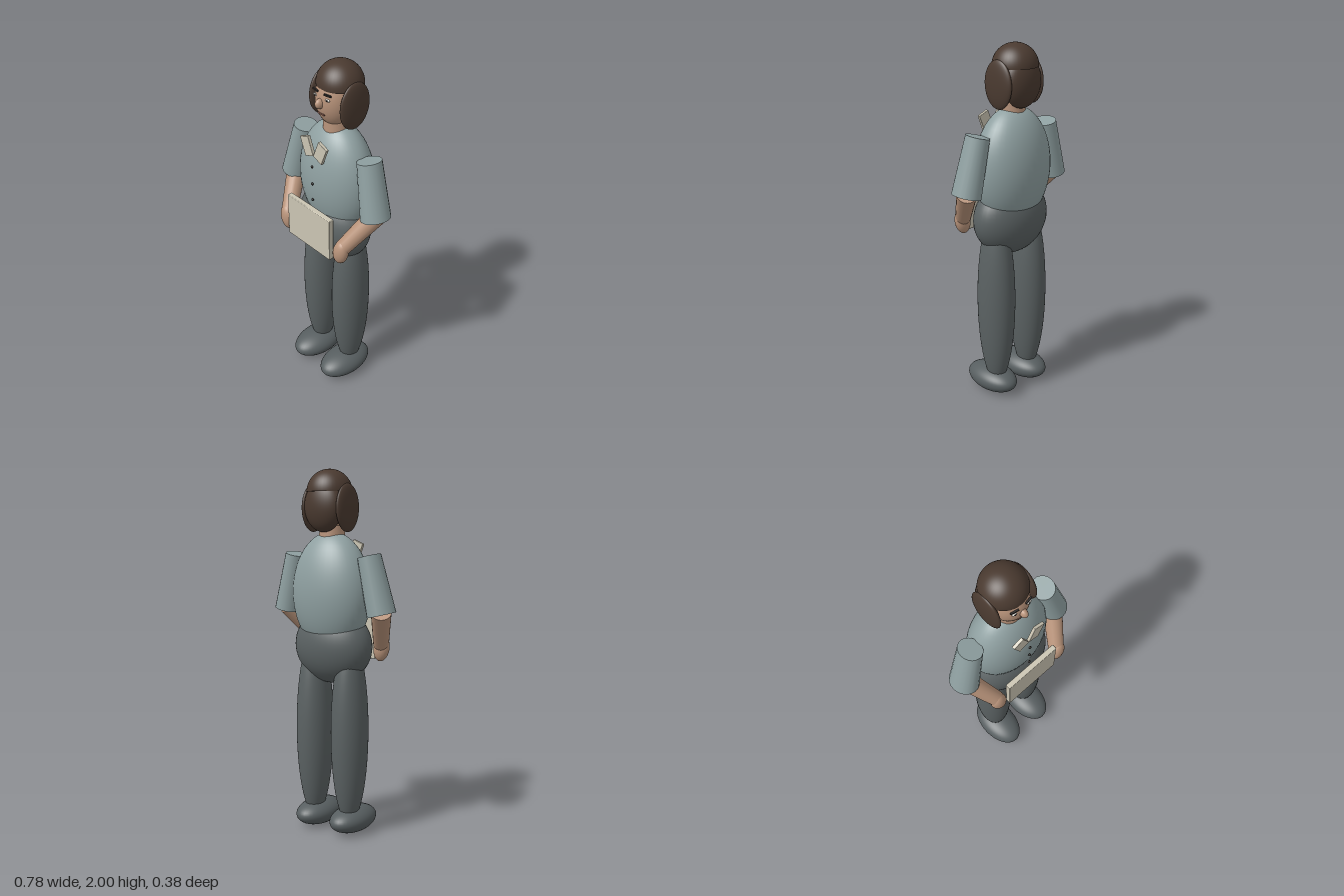
import * as THREE from 'three';
import { RoundedBoxGeometry } from 'three/addons/geometries/RoundedBoxGeometry.js';

const material = (name, color) => {
  const m = new THREE.MeshStandardMaterial({ color });
  m.name = name;
  return m;
};

export function createModel() {
  const shirt = material('greyBlueShirt', 0x8fa0a1);
  const trouser = material('charcoalTrousers', 0x5b6263);
  const shoe = material('darkShoes', 0x575e60);
  const skin = material('skin', 0xb8937a);
  const hair = material('brownHair', 0x4a3a30);
  const cream = material('cream', 0xcbc5b3);
  const dark = material('darkDetails', 0x2c2826);
  const white = material('eyeWhite', 0xdcd8cf);
  const lip = material('lips', 0x84594c);

  const model = new THREE.Group();
  model.name = 'person';

  const add = (name, geometry, mat, pos) => {
    const mesh = new THREE.Mesh(geometry, mat);
    mesh.name = name;
    mesh.position.set(...pos);
    model.add(mesh);
    return mesh;
  };
  const ball = (name, mat, pos, radii, w = 40, h = 28) =>
    add(name, new THREE.SphereGeometry(1, w, h).scale(...radii), mat, pos);
  // Tapered limb running from point a to point b
  const limb = (name, mat, a, b, ra, rb, depth = 1) => {
    const from = new THREE.Vector3(...a), to = new THREE.Vector3(...b);
    const dir = from.clone().sub(to);
    const geometry = new THREE.CylinderGeometry(ra, rb, dir.length(), 20).scale(1, 1, depth);
    const mesh = add(name, geometry, mat, from.clone().add(to).multiplyScalar(0.5).toArray());
    mesh.quaternion.setFromUnitVectors(new THREE.Vector3(0, 1, 0), dir.normalize());
    return mesh;
  };

  // Body
  ball('torso', shirt, [0, 1.34, -0.025], [0.237, 0.33, 0.165]);
  ball('hips', trouser, [0, 1.05, -0.008], [0.238, 0.21, 0.154]);
  add('neck', new THREE.CylinderGeometry(0.067, 0.072, 0.16, 24), skin, [0, 1.68, -0.02]);

  // Head and hair
  ball('head', skin, [0, 1.81, -0.012], [0.104, 0.15, 0.105]);
  ball('nose', skin, [0, 1.81, 0.093], [0.02, 0.028, 0.029], 20, 14);
  const cap = new THREE.SphereGeometry(1, 40, 20, 0, Math.PI * 2, 0, Math.PI * 0.5);
  add('hairCap', cap.scale(0.123, 0.12, 0.123), hair, [0, 1.88, -0.043]);
  const underside = add('hairCapUnderside', new THREE.CircleGeometry(0.123, 40), hair, [0, 1.88, -0.043]);
  underside.rotation.x = Math.PI / 2;
  ball('backHair', hair, [0, 1.805, -0.095], [0.118, 0.138, 0.07]);
  add('mouth', new THREE.BoxGeometry(0.046, 0.009, 0.008), lip, [0, 1.75, 0.083]);

  // Shirt buttons
  for (const y of [1.465, 1.36, 1.26, 1.165]) {
    ball('button', dark, [0, y, 0.15], [0.008, 0.008, 0.006], 12, 8);
  }

  // Held board
  add('board', new RoundedBoxGeometry(0.335, 0.255, 0.03, 2, 0.004), cream, [0, 1.094, 0.168]);

  // Mirrored parts
  for (const s of [1, -1]) {
    const side = s > 0 ? 'left' : 'right';

    ball(side + 'HairLock', hair, [s * 0.114, 1.795, -0.036], [0.026, 0.128, 0.098]);
    ball(side + 'Eye', white, [s * 0.044, 1.84, 0.081], [0.016, 0.007, 0.007], 16, 10);
    ball(side + 'Pupil', dark, [s * 0.044, 1.84, 0.086], [0.006, 0.006, 0.004], 12, 8);
    const brow = add(side + 'Brow', new THREE.BoxGeometry(0.044, 0.009, 0.009), dark, [s * 0.044, 1.866, 0.081]);
    brow.rotation.y = s * 0.2;

    const flap = add(side + 'Collar', new RoundedBoxGeometry(0.067, 0.108, 0.018, 2, 0.003), cream, [s * 0.05, 1.563, 0.133]);
    flap.rotation.z = -s * 0.38;

    limb(side + 'Sleeve', shirt, [s * 0.243, 1.545, -0.02], [s * 0.315, 1.235, -0.006], 0.062, 0.077, 1.1);
    limb(side + 'Forearm', skin, [s * 0.315, 1.25, -0.01], [s * 0.218, 1.055, 0.138], 0.055, 0.043);
    const hand = ball(side + 'Hand', skin, [s * 0.216, 1.032, 0.146], [0.046, 0.074, 0.038], 24, 18);
    hand.rotation.z = -s * 0.2;

    ball(side + 'Leg', trouser, [s * 0.12, 0.58, -0.02], [0.098, 0.53, 0.115]);
    ball(side + 'Shoe', shoe, [s * 0.118, 0.073, 0.018], [0.105, 0.073, 0.172]);
  }
  return model;
}
